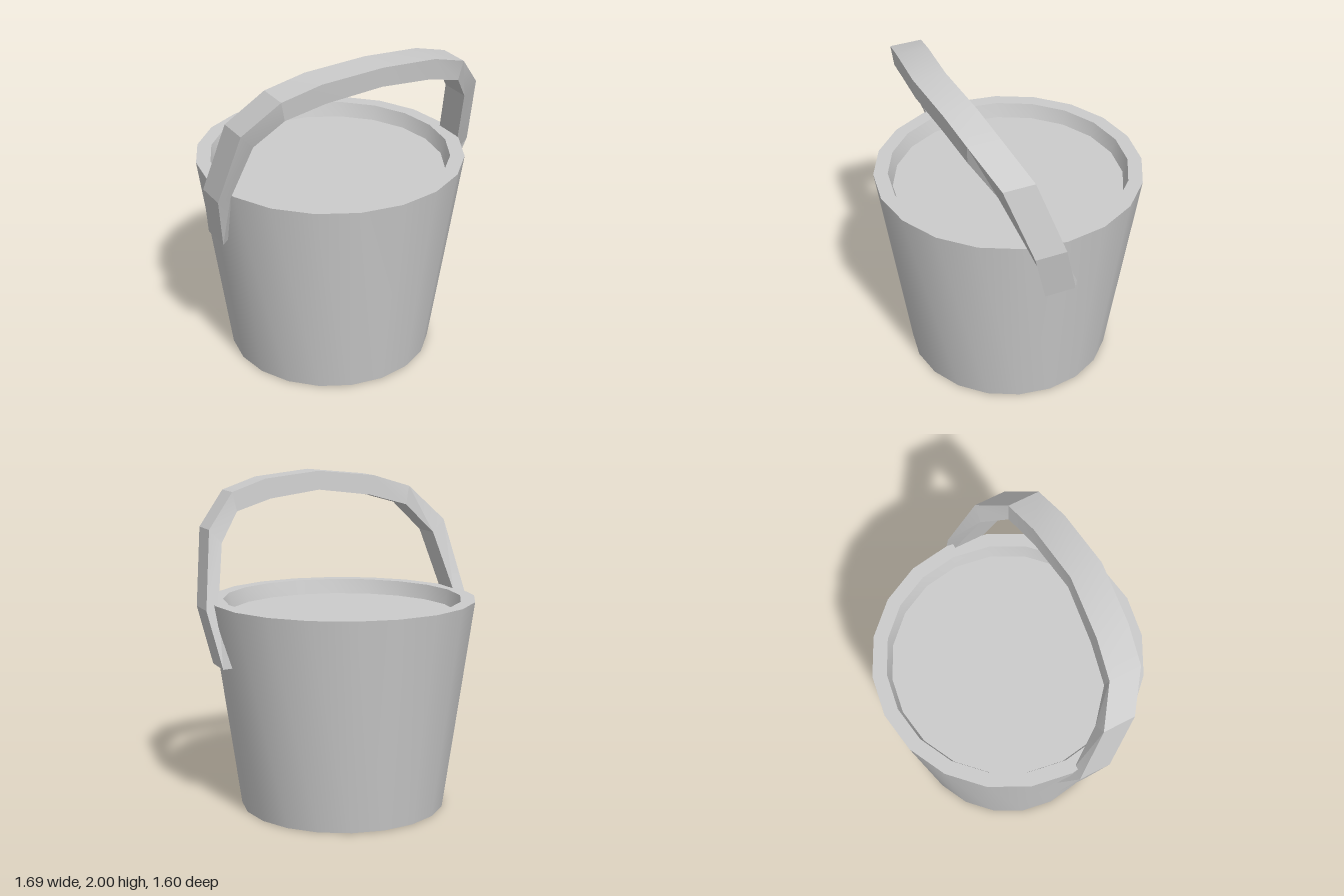
import * as THREE from 'three';
import { toCreasedNormals } from 'three/addons/utils/BufferGeometryUtils.js';

const material = new THREE.MeshStandardMaterial({ color: 0xcccccc });

// Joins four-cornered cross-sections into a closed bar.
function loft(sections) {
  const index = [];
  for (let i = 0; i < sections.length - 1; i++) {
    for (let k = 0; k < 4; k++) {
      const a = i * 4 + k, b = i * 4 + (k + 1) % 4;
      index.push(a, a + 4, b, b, a + 4, b + 4);
    }
  }
  const e = (sections.length - 1) * 4;
  index.push(0, 1, 2, 0, 2, 3, e, e + 2, e + 1, e, e + 3, e + 2);
  const geometry = new THREE.BufferGeometry();
  geometry.setAttribute('position', new THREE.Float32BufferAttribute(sections.flat(2), 3));
  geometry.setIndex(index);
  return toCreasedNormals(geometry, 0.26);
}

export function createModel() {
  const group = new THREE.Group();

  // Tapered bucket with a thick rim and a shallow filled interior
  const profile = [[0, 0], [0.62, 0], [0.8, 1.27], [0.715, 1.27], [0.69, 1.18], [0, 1.18]]
    .map(([r, y]) => new THREE.Vector2(r, y));
  const bucket = new THREE.Mesh(toCreasedNormals(new THREE.LatheGeometry(profile, 20), 0.6), material);
  bucket.name = 'bucket';
  group.add(bucket);

  // Left half of the handle, from its foot to the top:
  // outer x, y, inner x, y, then outer back z and inner back z
  const half = [
    [0.78, 0.905, 0.71, 0.92, -0.07, -0.115],
    [0.845, 1.24, 0.77, 1.25, 0.025, 0.03],
    [0.77, 1.69, 0.695, 1.61, 0.185, 0.18],
    [0.585, 1.895, 0.56, 1.78, 0.305, 0.295],
    [0.36, 1.965, 0.33, 1.845, 0.345, 0.335],
    [0, 2, 0, 1.885, 0.38, 0.37],
  ];
  const width = 0.192;
  const section = (side) => ([ox, oy, ix, iy, oz, iz]) => [
    [side * ox, oy, oz], [side * ox, oy, oz + width],
    [side * ix, iy, iz + width], [side * ix, iy, iz],
  ];
  const sections = [...half.map(section(1)), ...half.slice(0, -1).reverse().map(section(-1))];
  const handle = new THREE.Mesh(loft(sections), material);
  handle.name = 'handle';
  group.add(handle);

  return group;
}
